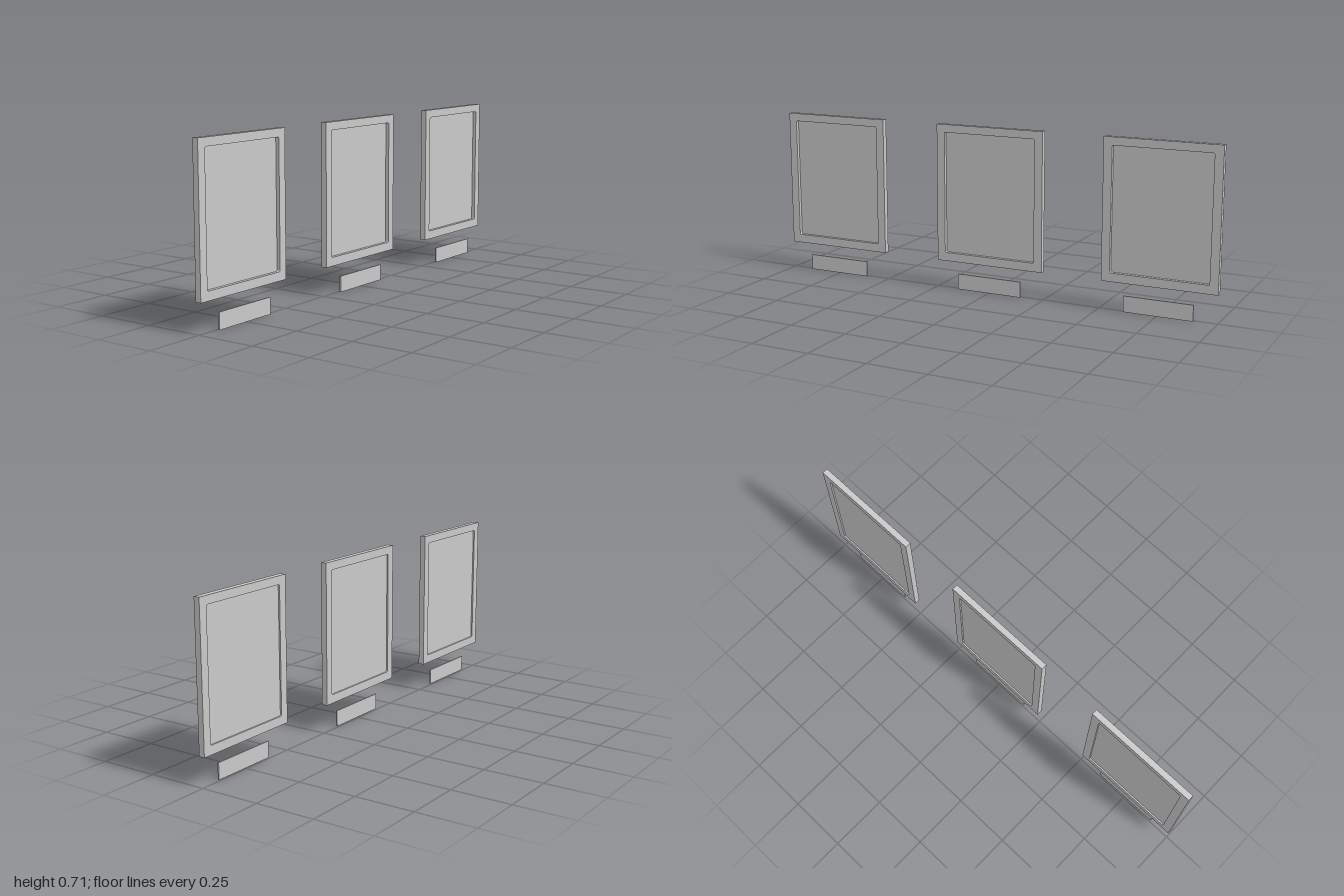
import * as THREE from 'three';

const grey = new THREE.MeshStandardMaterial({ color: 0xc9c9c9 });
grey.name = 'light grey';

const WIDTH = 0.49, BOTTOM = 0.12, TOP = 0.715, DEPTH = 0.025;
const OPEN_W = 0.417, OPEN_BOTTOM = 0.157, OPEN_TOP = 0.681, CORNER = 0.006;

// Rectangle with rounded corners, drawn on a Path or Shape
function roundedRect(path, w, y0, y1, r) {
  const x = w / 2;
  path.moveTo(-x + r, y0);
  path.lineTo(x - r, y0);
  path.absarc(x - r, y0 + r, r, -Math.PI / 2, 0);
  path.lineTo(x, y1 - r);
  path.absarc(x - r, y1 - r, r, 0, Math.PI / 2);
  path.lineTo(-x + r, y1);
  path.absarc(-x + r, y1 - r, r, Math.PI / 2, Math.PI);
  path.lineTo(-x, y0 + r);
  path.absarc(-x + r, y0 + r, r, Math.PI, Math.PI * 1.5);
  return path;
}

function box(name, w, y0, y1, z0, z1) {
  const mesh = new THREE.Mesh(new THREE.BoxGeometry(w, y1 - y0, z1 - z0), grey);
  mesh.position.set(0, (y0 + y1) / 2, (z0 + z1) / 2);
  mesh.name = name;
  return mesh;
}

function makePicture() {
  const group = new THREE.Group();

  // Square-edged frame around a softly cornered opening
  const outline = new THREE.Shape();
  outline.moveTo(-WIDTH / 2, BOTTOM);
  outline.lineTo(WIDTH / 2, BOTTOM);
  outline.lineTo(WIDTH / 2, TOP);
  outline.lineTo(-WIDTH / 2, TOP);
  outline.closePath();
  outline.holes.push(roundedRect(new THREE.Path(), OPEN_W, OPEN_BOTTOM, OPEN_TOP, CORNER));
  const frame = new THREE.Mesh(
    new THREE.ExtrudeGeometry(outline, { depth: DEPTH, bevelEnabled: false, curveSegments: 6 }), grey);
  frame.position.z = -DEPTH / 2;
  frame.name = 'frame';

  // Thin panel set deep from the front, shallow from the back
  const panelShape = roundedRect(new THREE.Shape(), OPEN_W, OPEN_BOTTOM, OPEN_TOP, CORNER);
  const panel = new THREE.Mesh(
    new THREE.ExtrudeGeometry(panelShape, { depth: 0.003, bevelEnabled: false, curveSegments: 6 }), grey);
  panel.position.z = -0.006;
  panel.name = 'picturePanel';

  // Caption plate below, flush with the frame's front
  group.add(frame, panel, box('captionPlate', 0.294, 0, 0.068, 0.0065, DEPTH / 2));
  return group;
}

export function createModel() {
  const model = new THREE.Group();
  model.name = 'pictureRow';
  ['rightPicture', 'middlePicture', 'leftPicture'].forEach((name, i) => {
    const picture = makePicture();
    picture.name = name;
    picture.position.x = (i - 1) * 0.755;
    model.add(picture);
  });
  return model;
}
